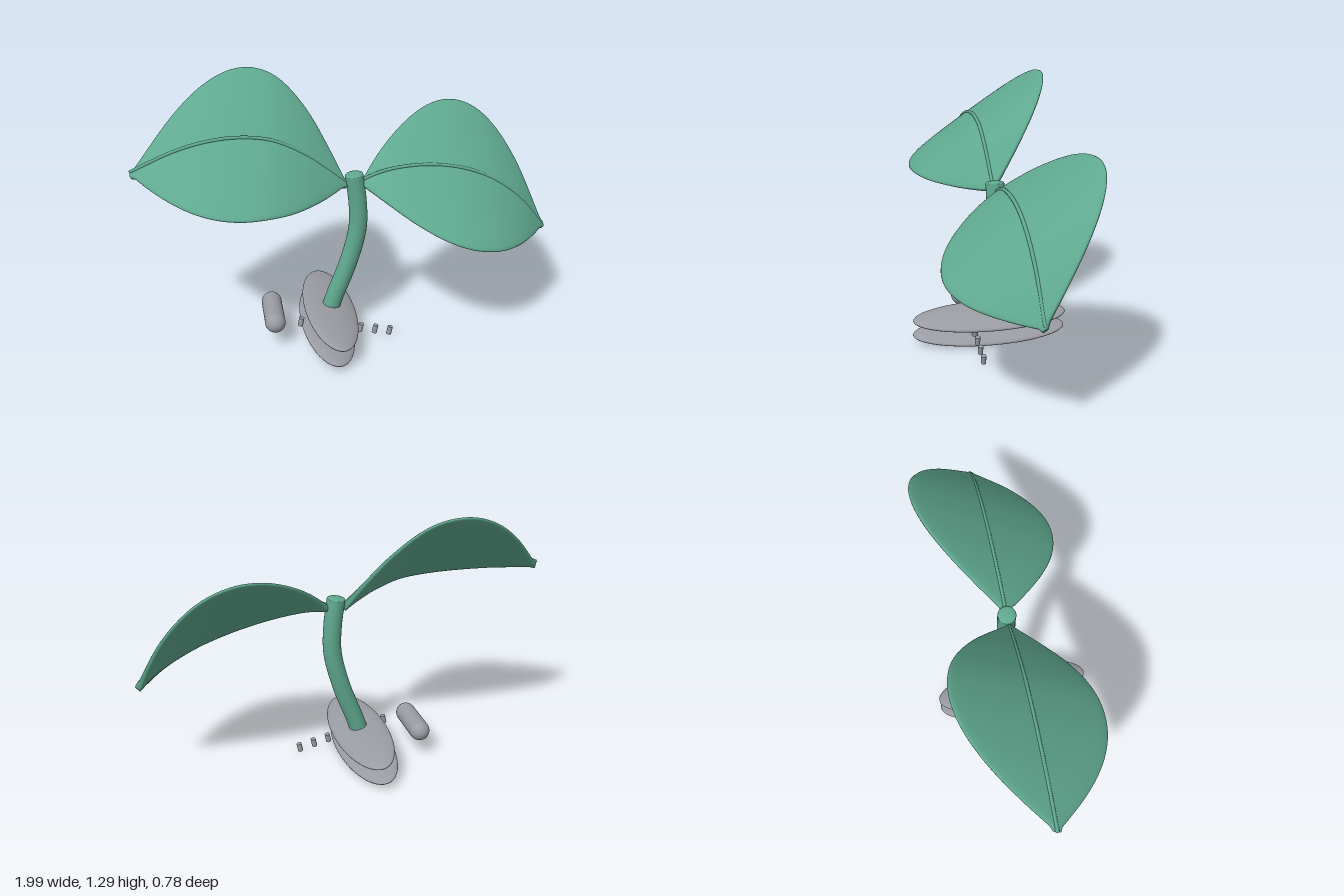
import * as THREE from 'three';

const green = new THREE.MeshStandardMaterial({ color: 0x5fa88f });
green.name = 'leafGreen';
const grey = new THREE.MeshStandardMaterial({ color: 0x9a9ca3 });
grey.name = 'stoneGrey';

const TILT = -0.2; // lean of the base about z
const SIDE = new THREE.Vector3(0.046, 0.245, -0.335); // midrib to back edge

const curve = (pts) => new THREE.CatmullRomCurve3(pts.map(([x, y]) => new THREE.Vector3(x, y, 0)));

function part(name, geometry, material, x = 0, y = 0, z = 0) {
  const mesh = new THREE.Mesh(geometry, material);
  mesh.name = name;
  mesh.position.set(x, y, z);
  return mesh;
}

// Leaf blade: rounded flat cross-sections swept along an arched spine
function bladeGeometry(spine, rows = 48, sides = 40, half = 0.016) {
  const pos = [], index = [];
  for (let i = -1; i <= rows + 1; i++) {
    const t = THREE.MathUtils.clamp(i / rows, 0, 1);
    const open = i < 0 || i > rows ? 0 : 1; // end rings collapse to a point
    const c = spine.getPointAt(t);
    const n = spine.getTangentAt(t).cross(SIDE).normalize();
    const w = open * Math.max(0.035, Math.pow(Math.sin(Math.PI * t), 0.97));
    for (let j = 0; j < sides; j++) {
      const a = (j / sides) * Math.PI * 2, s = Math.sin(a);
      const h = open * half * Math.sign(s) * Math.sqrt(Math.abs(s));
      const p = c.clone().addScaledVector(SIDE, w * Math.cos(a)).addScaledVector(n, h);
      pos.push(p.x, p.y, p.z);
    }
  }
  for (let i = 0; i < rows + 2; i++) {
    for (let j = 0; j < sides; j++) {
      const a = i * sides + j, b = i * sides + (j + 1) % sides;
      index.push(a, b, a + sides, b, b + sides, a + sides);
    }
  }
  const g = new THREE.BufferGeometry();
  g.setAttribute('position', new THREE.Float32BufferAttribute(pos, 3));
  g.setIndex(index);
  g.computeVertexNormals();
  return g;
}

function leaf(name, pts) {
  const group = new THREE.Group();
  group.name = name;
  const spine = curve(pts);
  group.add(part('blade', bladeGeometry(spine), green));
  // raised midrib along the upper face
  const rib = new THREE.TubeGeometry(spine, 48, 0.009, 8);
  group.add(part('midrib', rib, green, 0, 0.019, 0));
  for (const t of [0, 1]) {
    const p = spine.getPointAt(t);
    group.add(part('midribEnd', new THREE.SphereGeometry(0.009, 8, 6), green, p.x, p.y + 0.019, 0));
  }
  return group;
}

export function createModel() {
  const model = new THREE.Group();
  model.name = 'sprout';

  model.add(leaf('rightLeaf', [[-0.005, 0.8], [-0.1, 0.88], [-0.2, 0.955], [-0.35, 1.03],
    [-0.5, 1.052], [-0.65, 1.04], [-0.8, 1.0], [-0.99, 0.918]]));
  model.add(leaf('leftLeaf', [[0.065, 0.8], [0.15, 0.835], [0.25, 0.856], [0.4, 0.86],
    [0.55, 0.835], [0.7, 0.775], [0.85, 0.665], [0.98, 0.51]]));

  // Curved stem with a flat top
  const stem = curve([[-0.09, 0.12], [-0.06, 0.21], [0.01, 0.4], [0.052, 0.58], [0.05, 0.72], [0.033, 0.85]]);
  model.add(part('stem', new THREE.TubeGeometry(stem, 40, 0.044, 24), green));
  const cap = part('stemTop', new THREE.SphereGeometry(0.044, 24, 12), green, 0.033, 0.85, 0);
  cap.scale.y = 0.25;
  cap.rotation.z = 0.12;
  model.add(cap);

  // Two tilted lens-shaped discs
  for (const [name, x, y] of [['upperDisc', -0.087, 0.129], ['lowerDisc', -0.105, 0.046]]) {
    const disc = part(name, new THREE.SphereGeometry(1, 48, 24), grey, x, y, 0);
    disc.scale.set(0.132, 0.031, 0.388);
    disc.rotation.z = TILT;
    model.add(disc);
  }

  // Row of small pegs passing between the discs
  for (let i = 0; i < 7; i++) {
    const peg = part('peg', new THREE.CylinderGeometry(0.013, 0.013, 0.042, 12), grey,
      -0.243 + i * 0.074, 0.124 - i * 0.0157, 0.09);
    peg.rotation.z = TILT;
    model.add(peg);
  }

  // Rounded bar lying beside the discs
  const bar = part('bar', new THREE.CapsuleGeometry(0.05, 0.2, 10, 24), grey, -0.37, 0.138, 0);
  bar.rotation.x = Math.PI / 2;
  model.add(bar);

  return model;
}
